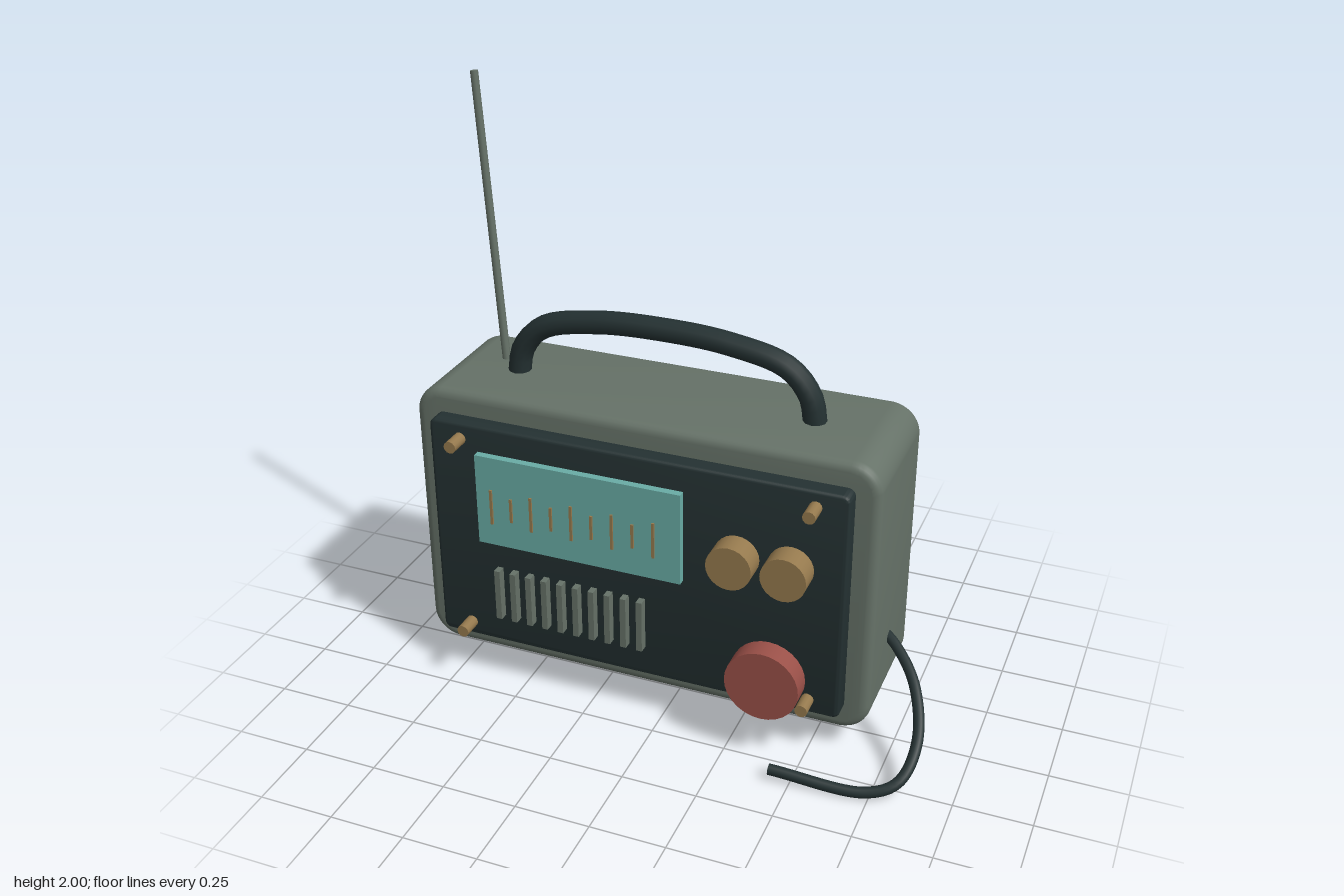
import * as THREE from 'three';
import { toCreasedNormals } from 'three/addons/utils/BufferGeometryUtils.js';

const mat = (name, color) => {
  const m = new THREE.MeshStandardMaterial({ color });
  m.name = name;
  return m;
};

export function createModel() {
  const group = new THREE.Group();
  const caseGrey = mat('caseGrey', 0x667268);
  const dark = mat('darkRubber', 0x243132);
  const glass = mat('tealGlass', 0x69aca5);
  const brass = mat('brass', 0x967a4e);
  const red = mat('red', 0x9a5048);

  const add = (name, geometry, material, x = 0, y = 0, z = 0) => {
    const mesh = new THREE.Mesh(geometry, material);
    mesh.name = name;
    mesh.position.set(x, y, z);
    group.add(mesh);
    return mesh;
  };

  // Rounded slab between two corners, with bevelled front and back rims
  const slab = (name, material, [x0, x1], [y0, y1], [z0, z1], radius, bevel) => {
    const a = x0 + bevel, b = x1 - bevel, c = y0 + bevel, d = y1 - bevel;
    const r = radius - bevel;
    const s = new THREE.Shape();
    s.moveTo(a + r, c);
    s.lineTo(b - r, c);
    s.absarc(b - r, c + r, r, -Math.PI / 2, 0);
    s.lineTo(b, d - r);
    s.absarc(b - r, d - r, r, 0, Math.PI / 2);
    s.lineTo(a + r, d);
    s.absarc(a + r, d - r, r, Math.PI / 2, Math.PI);
    s.lineTo(a, c + r);
    s.absarc(a + r, c + r, r, Math.PI, Math.PI * 1.5);
    const g = new THREE.ExtrudeGeometry(s, {
      depth: z1 - z0 - 2 * bevel, bevelEnabled: true, bevelSize: bevel,
      bevelThickness: bevel, bevelSegments: 4, curveSegments: 8,
    });
    g.translate(0, 0, z0 + bevel);
    return add(name, toCreasedNormals(g, 0.6), material);
  };

  // Box and forward-facing cylinder, given by centre and z range
  const plate = (name, material, x, y, w, h, z0, z1) =>
    add(name, new THREE.BoxGeometry(w, h, z1 - z0), material, x, y, (z0 + z1) / 2);
  const disc = (name, material, x, y, r, z0, z1, sides) =>
    add(name, new THREE.CylinderGeometry(r, r, z1 - z0, sides).rotateX(Math.PI / 2),
      material, x, y, (z0 + z1) / 2);

  // Case and front panel
  slab('case', caseGrey, [-0.88, 0.685], [0.085, 1.05], [-0.355, 0.115], 0.1, 0.03);
  slab('frontPanel', dark, [-0.8, 0.605], [0.165, 0.97], [0.09, 0.173], 0.025, 0.012);

  // Tuning display with alternating long and short marks
  plate('tuningDisplay', glass, -0.272, 0.725, 0.705, 0.32, 0.18, 0.205);
  for (let i = 0; i < 9; i++) {
    plate('tuningMark', brass, -0.57 + i * 0.0702, 0.708, 0.009, i % 2 ? 0.085 : 0.125, 0.207, 0.213);
  }

  // Speaker slats
  for (let i = 0; i < 10; i++) {
    plate('speakerSlat', caseGrey, -0.569 + i * 0.0562, 0.367, 0.02, 0.185, 0.17, 0.203);
  }

  // Knobs and corner screws
  for (const x of [0.255, 0.43]) disc('smallKnob', brass, x, 0.69, 0.074, 0.165, 0.253, 24);
  disc('largeKnob', red, 0.375, 0.295, 0.122, 0.195, 0.268, 28);
  for (const x of [-0.69, 0.5]) {
    for (const y of [0.217, 0.917]) disc('cornerScrew', brass, x, y, 0.021, 0.165, 0.242, 12);
  }

  // Carrying handle
  const handlePath = new THREE.CatmullRomCurve3([
    [-0.615, 1.03], [-0.595, 1.13], [-0.52, 1.215], [-0.33, 1.262], [-0.105, 1.274],
    [0.12, 1.262], [0.31, 1.215], [0.385, 1.13], [0.405, 1.03],
  ].map(([x, y]) => new THREE.Vector3(x, y, -0.115)));
  add('handle', new THREE.TubeGeometry(handlePath, 40, 0.038, 10), dark);

  // Leaning antenna
  const foot = new THREE.Vector3(-0.69, 1.03, -0.174);
  const tip = new THREE.Vector3(-0.779, 2, -0.224);
  const span = tip.clone().sub(foot);
  const antenna = add('antenna', new THREE.CylinderGeometry(0.013, 0.014, span.length(), 10), caseGrey);
  antenna.position.copy(foot).add(tip).multiplyScalar(0.5);
  antenna.quaternion.setFromUnitVectors(new THREE.Vector3(0, 1, 0), span.normalize());

  // Loose power cable with a closed end
  const cablePath = new THREE.CatmullRomCurve3([
    [0.65, 0.345, -0.115], [0.715, 0.318, -0.075], [0.805, 0.25, 0.02], [0.857, 0.14, 0.16],
    [0.83, 0.058, 0.27], [0.74, 0.026, 0.315], [0.43, 0.04, 0.335],
  ].map((p) => new THREE.Vector3(...p)));
  add('cable', new THREE.TubeGeometry(cablePath, 48, 0.018, 10), dark);
  const cap = add('cableEnd', new THREE.CircleGeometry(0.018, 10), dark, 0.43, 0.04, 0.335);
  cap.quaternion.setFromUnitVectors(new THREE.Vector3(0, 0, 1), cablePath.getTangent(1));

  return group;
}
